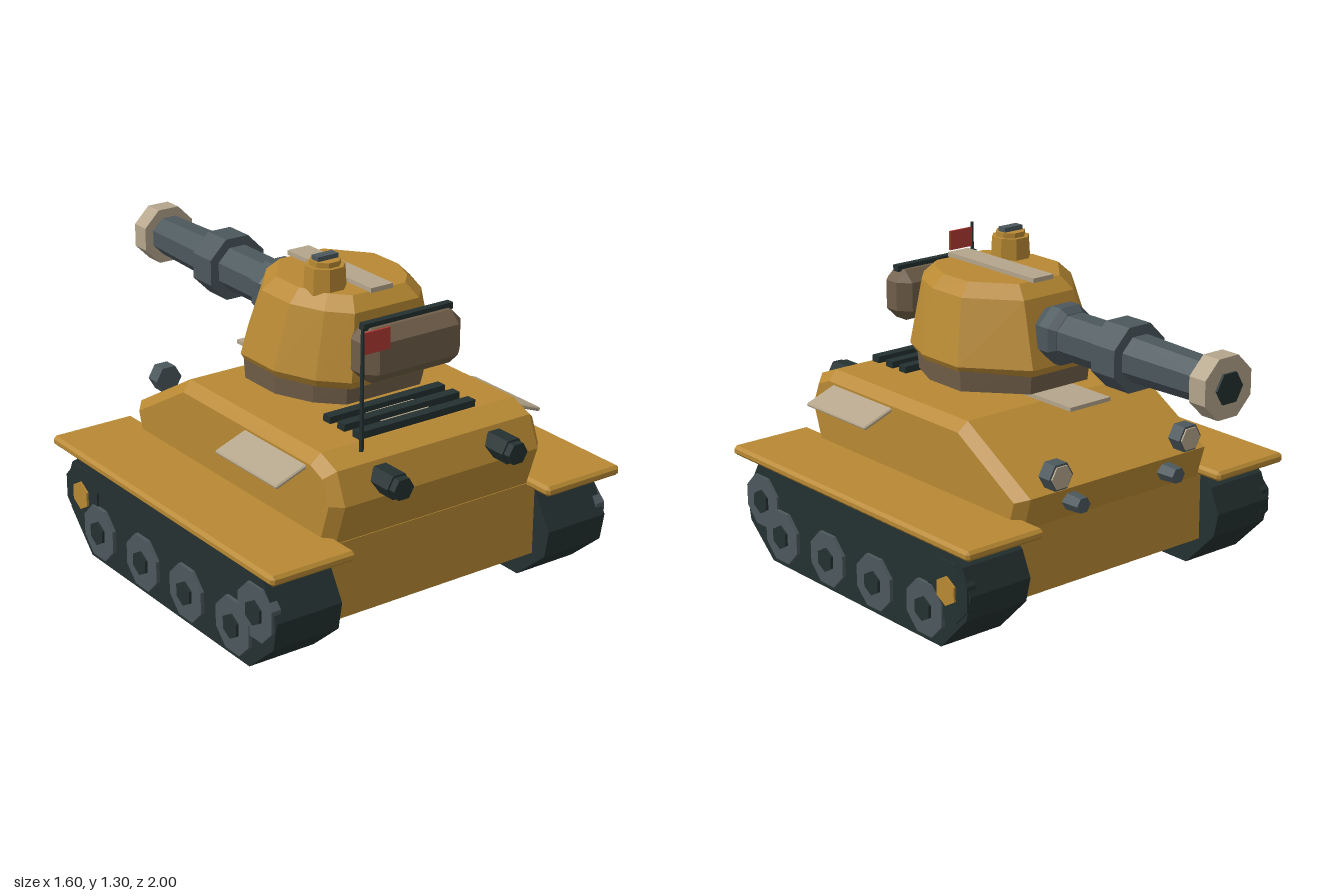
import * as THREE from 'three';
import { ConvexGeometry } from 'three/addons/geometries/ConvexGeometry.js';

const mat = (name, color) => {
  const m = new THREE.MeshStandardMaterial({ color });
  m.name = name;
  return m;
};

export function createModel() {
  const model = new THREE.Group();
  model.name = 'tank';
  const ochre = mat('ochre armour', 0xb88933);
  const slate = mat('slate metal', 0x4c585d);
  const dark = mat('dark rubber', 0x243030);
  const brown = mat('brown canvas', 0x705e49);
  const tan = mat('tan plate', 0xb5a68c);
  const red = mat('red flag', 0xb23a32);

  const add = (name, geo, material, x = 0, y = 0, z = 0) => {
    const g = geo.index ? geo.toNonIndexed() : geo;
    g.computeVertexNormals(); // faceted look
    const mesh = new THREE.Mesh(g, material);
    mesh.name = name;
    mesh.position.set(x, y, z);
    model.add(mesh);
    return mesh;
  };
  const box = (w, h, d) => new THREE.BoxGeometry(w, h, d);

  // Prism along one axis with flats on the axes; a and b are apothems at the - and + ends
  const prism = (axis, a, b, length, sides = 8) => {
    const k = Math.cos(Math.PI / sides);
    const g = new THREE.CylinderGeometry(b / k, a / k, length, sides);
    g.rotateY(Math.PI / sides);
    if (axis === 'z') g.rotateX(Math.PI / 2);
    if (axis === 'x') g.rotateZ(-Math.PI / 2);
    return g;
  };
  // Barrel section running from z0 to z1 (z1 is further forward)
  const section = (name, z0, z1, r0, r1, material, sides = 8) =>
    add(name, prism('z', r1, r0, z0 - z1, sides), material, 0, 1, (z0 + z1) / 2);

  // Box with chamfered edges
  const chamferBox = (w, h, d, c) => {
    const pts = [];
    for (const x of [-w / 2, w / 2]) for (const y of [-h / 2, h / 2]) for (const z of [-d / 2, d / 2]) {
      const cx = x - Math.sign(x) * c, cy = y - Math.sign(y) * c, cz = z - Math.sign(z) * c;
      pts.push(new THREE.Vector3(x, cy, cz), new THREE.Vector3(cx, y, cz), new THREE.Vector3(cx, cy, z));
    }
    return new ConvexGeometry(pts);
  };
  // Side profile of [z, y] points, extruded across x and centred
  const sideExtrude = (profile, width, bevel = 0) => {
    const shape = new THREE.Shape(profile.map(([z, y]) => new THREE.Vector2(z, y)));
    const g = new THREE.ExtrudeGeometry(shape, {
      depth: width - 2 * bevel, bevelEnabled: bevel > 0, bevelSegments: 1,
      bevelSize: bevel, bevelThickness: bevel, bevelOffset: -bevel,
    });
    g.translate(0, 0, bevel - width / 2);
    return g.rotateY(-Math.PI / 2);
  };
  // Turret solid from stacked copies of one plan: [y, half width, half length, centre z]
  const plan = [[0.45, -1], [1, -0.36], [1, 0.25], [0.8, 0.72], [0.53, 1]];
  const stack = (levels) => new ConvexGeometry(levels.flatMap(([y, hx, hz, cz]) =>
    plan.flatMap(([x, z]) => [-1, 1].map((s) => new THREE.Vector3(s * x * hx, y, cz + z * hz)))));

  // Hull
  add('lowerHull', box(0.98, 0.3, 1.23), ochre, 0, 0.27, 0.235);
  add('upperHull', sideExtrude([[0.84, 0.4], [0.9, 0.58], [0.85, 0.7], [0.755, 0.738],
    [-0.08, 0.738], [-0.44, 0.53], [-0.4, 0.4]], 0.96, 0.04), ochre);
  add('turretBearing', prism('y', 0.09, 0.09, 0.03), ochre, 0, 0.755, 0.05);
  add('turretNeck', prism('y', 0.06, 0.06, 0.05), brown, 0, 0.775, 0.05);
  add('frontDeckPlate', box(0.2, 0.016, 0.27), tan, 0, 0.755, -0.135);

  // Engine grille
  for (const z of [0.55, 0.635, 0.725]) add('grilleSlat', box(0.53, 0.03, 0.042), dark, 0, 0.75, z);
  for (const z of [0.592, 0.68]) add('grillePlate', box(0.22, 0.012, 0.03), tan, 0, 0.742, z);

  const trackProfile = [[0.94, 0.24], [0.92, 0.13], [0.77, 0], [-0.31, 0], [-0.46, 0.15],
    [-0.485, 0.25], [-0.44, 0.35], [-0.38, 0.39], [0.85, 0.39]];

  // Running gear and fittings on both sides
  for (const s of [-1, 1]) {
    add('track', sideExtrude(trackProfile, 0.28), dark, s * 0.62, 0, 0);
    add('fender', chamferBox(0.36, 0.04, 1.49, 0.012), ochre, s * 0.62, 0.423, 0.225);
    const wheels = [[0.685, 0.13], [0.38, 0.13], [0.08, 0.13], [-0.23, 0.13], [0.82, 0.24]];
    wheels.forEach(([z, y], i) => {
      const out = i === 4 ? -0.005 : 0;
      add('roadWheel', prism('x', 0.104, 0.104, 0.04), slate, s * (0.755 + out), y, z);
      add('wheelHub', prism('x', 0.042, 0.042, 0.03, 6), dark, s * (0.771 + out), y, z);
    });
    add('driveSprocket', prism('x', 0.115, 0.115, 0.04), dark, s * 0.748, 0.24, -0.36);
    add('sprocketHub', prism('x', 0.05, 0.05, 0.03, 6), ochre, s * 0.762, 0.24, -0.36);

    const flap = add('sidePlate', chamferBox(0.145, 0.016, 0.385, 0.005), tan, s * 0.54, 0.658, 0.53);
    flap.rotation.z = -s * 0.36;

    add('exhaust', prism('z', 0.045, 0.045, 0.11, 6), dark, s * 0.26, 0.64, 0.915);
    add('exhaustTip', prism('z', 0.038, 0.038, 0.035, 6), dark, s * 0.26, 0.64, 0.982);

    add('headlight', prism('z', 0.05, 0.05, 0.06, 6), slate, s * 0.325, 0.6, -0.445);
    add('headlightLens', prism('z', 0.042, 0.042, 0.009, 6), tan, s * 0.325, 0.6, -0.477);
    add('lowerLamp', prism('z', 0.028, 0.033, 0.08, 6), slate, s * 0.24, 0.477, -0.465);
  }

  // Turret
  add('turretRing', stack([[0.78, 0.32, 0.315, 0.225], [0.87, 0.325, 0.325, 0.225]]), brown);
  add('turretBody', stack([[0.85, 0.32, 0.335, 0.235], [0.88, 0.338, 0.35, 0.235],
    [1.13, 0.275, 0.292, 0.262], [1.18, 0.225, 0.24, 0.265]]), ochre);
  add('turretTopPlate', box(0.1, 0.018, 0.52), tan, 0, 1.188, 0.262);
  add('hatch', prism('y', 0.075, 0.07, 0.1), ochre, -0.14, 1.215, 0.365);
  add('hatchCap', prism('y', 0.055, 0.055, 0.03), ochre, -0.14, 1.27, 0.365);
  add('periscope', box(0.09, 0.025, 0.04), slate, -0.14, 1.29, 0.365);
  add('stowageBox', chamferBox(0.445, 0.205, 0.155, 0.045), brown, 0, 1.02, 0.667);
  add('stowageStrap', box(0.4, 0.025, 0.03), dark, 0, 1.127, 0.667);

  // Gun
  section('mantlet', -0.05, -0.1, 0.09, 0.112, slate);
  section('mantlet', -0.1, -0.15, 0.112, 0.112, slate);
  section('mantlet', -0.15, -0.178, 0.112, 0.09, slate);
  section('barrelBase', -0.17, -0.42, 0.088, 0.088, slate);
  section('barrelCollar', -0.41, -0.535, 0.125, 0.125, slate);
  section('barrel', -0.53, -0.92, 0.086, 0.076, slate);
  section('muzzle', -0.91, -0.99, 0.113, 0.113, tan);
  section('bore', -0.98, -1.0, 0.055, 0.055, dark, 6);

  // Antenna with flag
  add('antenna', prism('y', 0.008, 0.006, 0.46, 6), dark, -0.32, 0.97, 0.83);
  add('flag', box(0.115, 0.08, 0.009), red, -0.26, 1.14, 0.83);

  return model;
}
